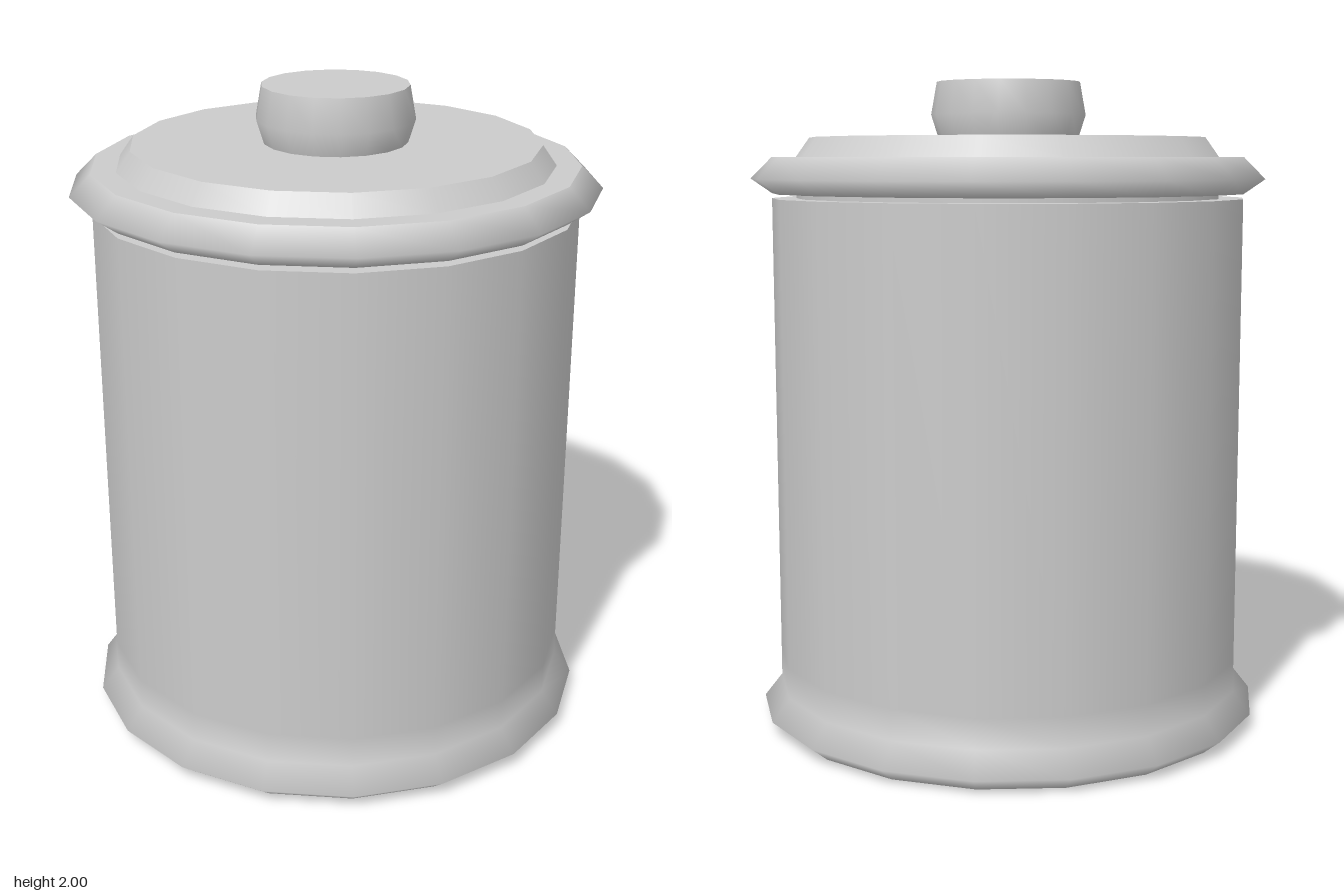
import * as THREE from 'three';
import { mergeGeometries } from 'three/addons/utils/BufferGeometryUtils.js';

const SIDES = 18;
const material = new THREE.MeshStandardMaterial({ color: 0xcccccc });

// Turned part: smooth within each section, sharp edge between sections.
function turned(name, sections) {
  const lathes = sections.map((points) => new THREE.LatheGeometry(
    points.map(([r, y]) => new THREE.Vector2(r, y)), SIDES, Math.PI / 2));
  const mesh = new THREE.Mesh(mergeGeometries(lathes), material);
  mesh.name = name;
  return mesh;
}

export function createModel() {
  const group = new THREE.Group();
  group.name = 'lidded canister';

  // Straight body with a flared foot and a flat shoulder
  group.add(turned('body', [
    [[0, 0], [0.735, 0]],
    [[0.735, 0], [0.79, 0.045], [0.735, 0.115], [0.735, 0.21], [0.735, 1.645]],
    [[0.735, 1.645], [0.66, 1.645]],
  ]));

  // Recessed neck seen in the gap under the lid
  group.add(turned('neck', [
    [[0.66, 1.64], [0.66, 1.665]],
  ]));

  // Lid with a bulging rim and a raised, bevelled centre
  group.add(turned('lid', [
    [[0.66, 1.66], [0.735, 1.66]],
    [[0.735, 1.66], [0.8, 1.705], [0.735, 1.77]],
    [[0.735, 1.77], [0.66, 1.77]],
    [[0.66, 1.77], [0.617, 1.83]],
    [[0.617, 1.83], [0, 1.83]],
  ]));

  // Rounded knob with a flat top
  group.add(turned('knob', [
    [[0.218, 1.83], [0.24, 1.9], [0.222, 2]],
    [[0.222, 2], [0, 2]],
  ]));

  return group;
}
